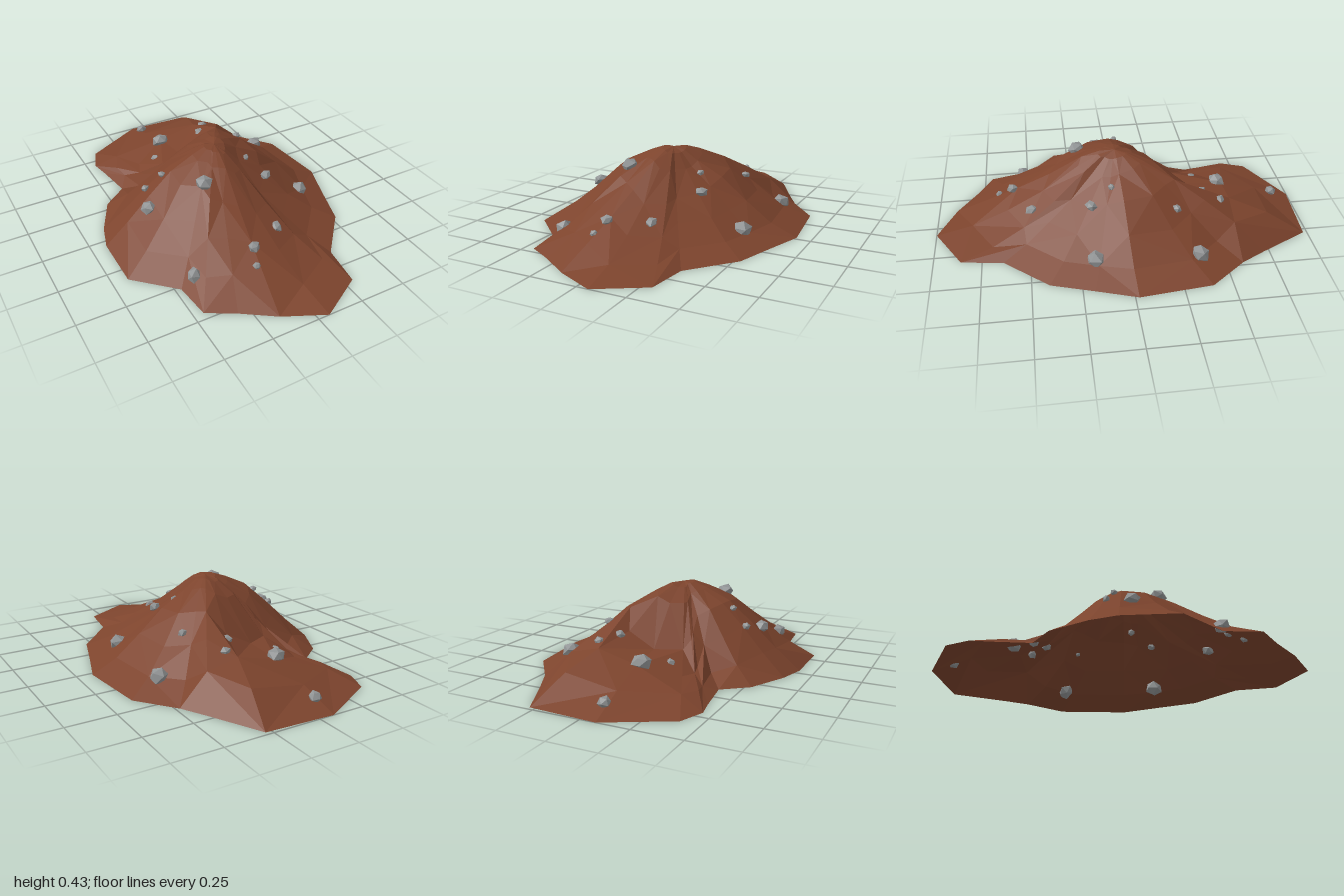
import * as THREE from 'three';

const soil = new THREE.MeshStandardMaterial({ color: 0x7d442d, flatShading: true, side: THREE.DoubleSide });
soil.name = 'red brown soil';
const stone = new THREE.MeshStandardMaterial({ color: 0x909394, flatShading: true });
stone.name = 'grey stone';

const SUMMIT = new THREE.Vector3(-0.02, 0.432, 0.02);

// Spokes from the summit: foot x, foot z, then heights at 20, 40, 60 and 80 % of the way out
const SPOKES = [
  [-0.08, -1.00, 0.35, 0.16, 0.14, 0.08],
  [0.28, -0.98, 0.38, 0.235, 0.19, 0.12],
  [0.41, -0.72, 0.40, 0.33, 0.245, 0.15],
  [0.48, -0.59, 0.40, 0.32, 0.20, 0.08],
  [0.63, -0.40, 0.385, 0.30, 0.17, 0.07],
  [0.67, -0.02, 0.365, 0.29, 0.175, 0.07],
  [0.60, 0.19, 0.34, 0.255, 0.155, 0.06],
  [0.53, 0.41, 0.335, 0.235, 0.14, 0.06],
  [0.33, 0.64, 0.34, 0.225, 0.14, 0.06],
  [0.30, 0.86, 0.345, 0.215, 0.105, 0.04],
  [0.06, 1.00, 0.355, 0.22, 0.12, 0.045],
  [-0.15, 0.90, 0.385, 0.27, 0.175, 0.09],
  [-0.31, 0.79, 0.39, 0.29, 0.19, 0.10],
  [-0.45, 0.71, 0.39, 0.31, 0.19, 0.08],
  [-0.47, 0.52, 0.40, 0.34, 0.22, 0.10],
  [-0.67, 0.33, 0.40, 0.33, 0.20, 0.09],
  [-0.67, 0.04, 0.405, 0.345, 0.235, 0.115],
  [-0.63, -0.10, 0.40, 0.34, 0.235, 0.115],
  [-0.53, -0.30, 0.395, 0.32, 0.20, 0.085],
  [-0.40, -0.40, 0.385, 0.29, 0.165, 0.055],
  [-0.43, -0.60, 0.365, 0.225, 0.09, 0.04],
  [-0.45, -0.70, 0.355, 0.195, 0.075, 0.05],
  [-0.40, -0.83, 0.35, 0.155, 0.08, 0.06],
];

// Stones: x, y, z, radius
const STONES = [
  [-0.06, 0.057, -0.89, 0.033], [-0.07, 0.15, -0.57, 0.049],
  [0.19, 0.205, -0.52, 0.029], [0.13, 0.225, -0.43, 0.031], [-0.16, 0.12, -0.44, 0.029],
  [0.465, 0.08, -0.36, 0.05], [0.285, 0.24, -0.27, 0.024],
  [-0.40, 0.235, -0.04, 0.023], [-0.315, 0.315, -0.01, 0.02], [-0.44, 0.21, 0.09, 0.042],
  [0.155, 0.31, 0.055, 0.022], [0.215, 0.245, 0.17, 0.032], [0.435, 0.075, 0.17, 0.054],
  [-0.18, 0.35, 0.21, 0.048], [0.09, 0.155, 0.48, 0.033], [-0.40, 0.068, 0.52, 0.043],
  [-0.10, 0.17, 0.58, 0.031], [-0.13, 0.12, 0.655, 0.022],
];

// Faceted hill: rings of points joined outward from the summit, open underneath
function hillGeometry() {
  const n = SPOKES.length;
  const reach = [0.09, 0.2, 0.4, 0.6, 0.8, 1];
  const positions = [...SUMMIT];
  const index = [];
  reach.forEach((t, r) => {
    for (const [x, z, ...heights] of SPOKES) {
      // The innermost ring rounds off the top
      const crown = SUMMIT.y * 0.65 + heights[0] * 0.35 + 0.008;
      const y = [crown, ...heights, 0.007][r];
      positions.push(SUMMIT.x * (1 - t) + x * t, y, SUMMIT.z * (1 - t) + z * t);
    }
  });
  const at = (r, i) => 1 + r * n + (i % n);
  for (let i = 0; i < n; i++) {
    index.push(0, at(0, i + 1), at(0, i));
    for (let r = 0; r < reach.length - 1; r++) {
      const a = at(r, i), b = at(r, i + 1), c = at(r + 1, i), d = at(r + 1, i + 1);
      if ((i + r) % 2) index.push(a, b, c, b, d, c);
      else index.push(a, b, d, a, d, c);
    }
  }
  const g = new THREE.BufferGeometry();
  g.setAttribute('position', new THREE.Float32BufferAttribute(positions, 3));
  g.setIndex(index);
  const flat = g.toNonIndexed();
  flat.computeVertexNormals();
  return flat;
}

// Irregular stone: an icosahedron whose corners move in or out by a position rule
function stoneGeometry(radius, seed) {
  const g = new THREE.IcosahedronGeometry(1, 0);
  const p = g.attributes.position;
  const v = new THREE.Vector3();
  for (let i = 0; i < p.count; i++) {
    v.fromBufferAttribute(p, i);
    const wobble = Math.sin(v.x * 5.1 + v.y * 7.3 + v.z * 3.7 + seed * 2.4);
    v.multiplyScalar(radius * (0.98 + 0.14 * wobble));
    p.setXYZ(i, v.x, v.y * 0.85, v.z);
  }
  g.computeVertexNormals();
  return g;
}

export function createModel() {
  const model = new THREE.Group();
  model.name = 'rockyMound';

  const hill = new THREE.Mesh(hillGeometry(), soil);
  hill.name = 'hill';
  model.add(hill);

  const stones = new THREE.Group();
  stones.name = 'stones';
  STONES.forEach(([x, y, z, radius], i) => {
    const mesh = new THREE.Mesh(stoneGeometry(radius, i), stone);
    mesh.name = `stone${i + 1}`;
    mesh.position.set(x, y, z);
    // Lean each stone with the slope
    mesh.rotation.set(z * 0.5, i * 1.3, -x * 0.7);
    stones.add(mesh);
  });
  model.add(stones);
  return model;
}
